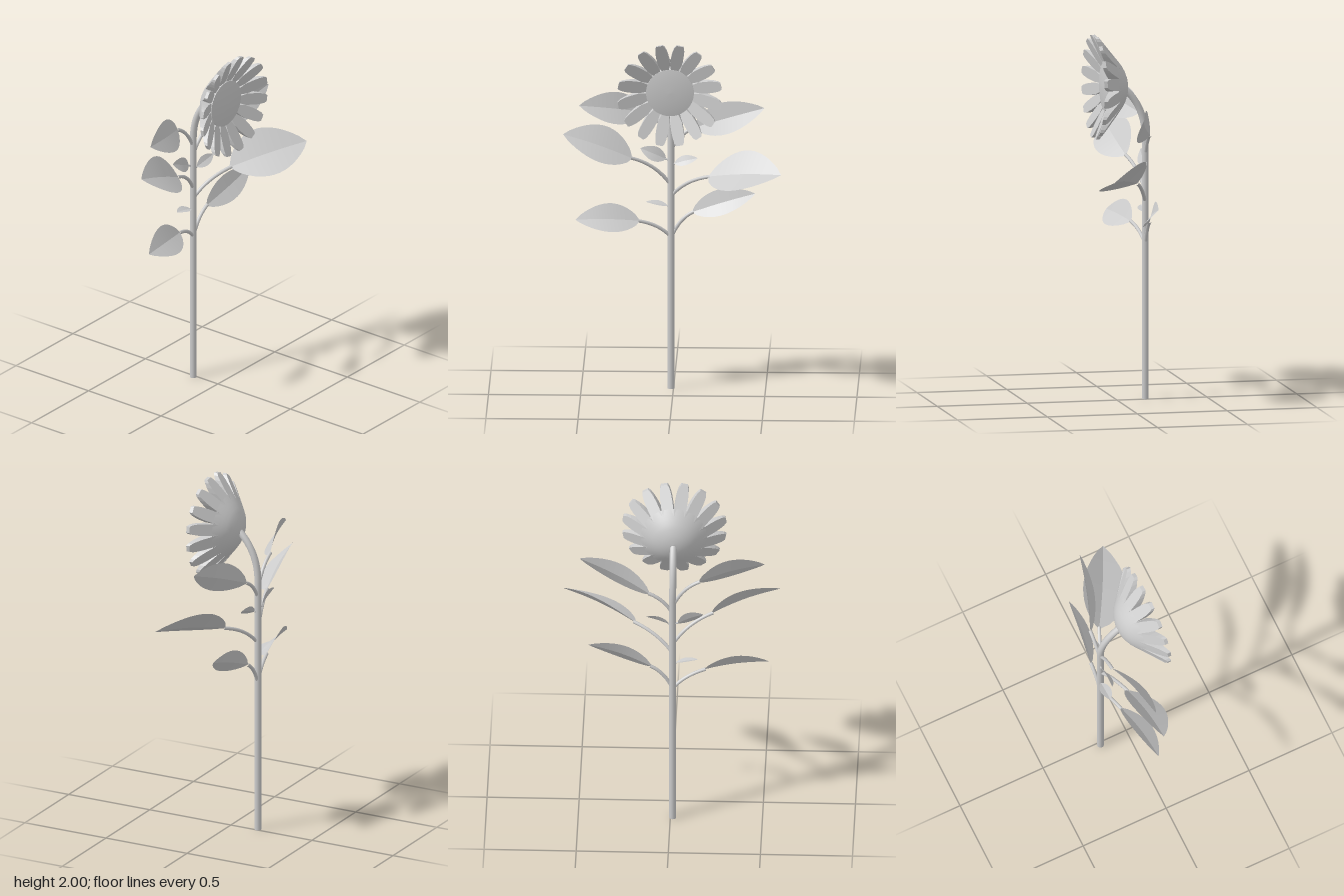
import * as THREE from 'three';

const V = (x, y, z) => new THREE.Vector3(x, y, z);
const grey = new THREE.MeshStandardMaterial({ color: 0xcccccc });
const thinGrey = new THREE.MeshStandardMaterial({ color: 0xcccccc, side: THREE.DoubleSide });
const SX = -0.013, SZ = -0.16, STEM_R = 0.019; // stem axis and radius

function add(parent, name, geometry, material = grey) {
  const mesh = new THREE.Mesh(geometry, material);
  mesh.name = name;
  parent.add(mesh);
  return mesh;
}

// Arched blade from base to tip with a sharp fold along the midrib;
// side points to its lower edge.
function leafBlade(base, tip, side, arch) {
  const axis = tip.clone().sub(base);
  const dir = axis.clone().normalize();
  const half = side.length();
  const w = side.clone().addScaledVector(dir, -side.dot(dir)).setLength(half);
  const n = dir.clone().cross(w).normalize();
  if (n.y < 0) n.negate();
  const across = [-1, -0.5, 0, 0, 0.5, 1]; // midrib doubled to keep the crease
  const rows = 14, cols = across.length, pos = [], idx = [];
  for (let i = 0; i <= rows; i++) {
    const t = i / rows;
    const width = Math.pow(Math.max(0, Math.sin(Math.PI * Math.pow(t, 0.88))), 0.8);
    across.forEach((s, j) => {
      const p = base.clone().addScaledVector(axis, t).addScaledVector(w, s * width)
        .addScaledVector(n, arch * Math.sin(Math.PI * t) + 0.2 * half * Math.abs(s) * width);
      pos.push(p.x, p.y, p.z);
      if (i < rows && j < cols - 1 && j !== 2) {
        const a = i * cols + j, b = a + cols;
        idx.push(a, b, a + 1, a + 1, b, b + 1);
      }
    });
  }
  const g = new THREE.BufferGeometry();
  g.setAttribute('position', new THREE.Float32BufferAttribute(pos, 3));
  g.setIndex(idx);
  g.computeVertexNormals();
  return g;
}

function addLeaf(parent, { name, startY, base, tip, side, arch = 0.014, r = 0.01 }) {
  const leaf = new THREE.Group();
  leaf.name = name;
  const b = V(...base), t = V(...tip);
  const start = V(SX, startY, SZ);
  const mid = V(
    SX + (b.x - SX) * 0.38,
    startY + (b.y - startY) * 0.77,
    SZ + (b.z - SZ) * 0.4);
  // stalk runs a little way under the blade
  const curve = new THREE.QuadraticBezierCurve3(start, mid, b.clone().lerp(t, 0.03));
  add(leaf, 'leafStalk', new THREE.TubeGeometry(curve, 12, r, 8));
  add(leaf, 'leafBlade', leafBlade(b, t, V(...side), arch), thinGrey);
  parent.add(leaf);
}

const LEAVES = [
  { name: 'lowerRightLeaf', startY: 0.85, base: [-0.18, 0.95, -0.12], tip: [-0.53, 0.97, -0.06], side: [0, -0.065, 0.06] },
  { name: 'lowerLeftLeaf', startY: 0.845, base: [0.1, 0.99, -0.16], tip: [0.445, 1.105, -0.13], side: [0.02, -0.06, 0.036] },
  { name: 'middleRightLeaf', startY: 1.14, base: [-0.22, 1.305, -0.1], tip: [-0.597, 1.45, -0.06], side: [-0.02, -0.077, 0.087] },
  { name: 'middleLeftLeaf', startY: 1.08, base: [0.19, 1.215, -0.07], tip: [0.592, 1.285, 0.148], side: [-0.04, -0.083, 0.115] },
  { name: 'upperRightLeaf', startY: 1.39, base: [-0.15, 1.55, -0.16], tip: [-0.51, 1.61, -0.065], side: [0, -0.08, 0.04] },
  { name: 'upperLeftLeaf', startY: 1.34, base: [0.11, 1.465, -0.16], tip: [0.497, 1.61, -0.04], side: [0.03, -0.074, 0.035] },
  { name: 'smallRightLeaf', startY: 1.27, base: [-0.04, 1.285, -0.17], tip: [-0.18, 1.345, -0.17], side: [-0.01, -0.036, 0.015], arch: 0.006, r: 0.005 },
  { name: 'smallLeftLeaf', startY: 1.25, base: [0.005, 1.265, -0.15], tip: [0.132, 1.3, -0.135], side: [0, -0.024, 0.018], arch: 0.006, r: 0.005 },
  { name: 'smallLowRightLeaf', startY: 1.01, base: [-0.03, 1.022, -0.165], tip: [-0.15, 1.045, -0.165], side: [0, -0.006, 0.03], arch: 0.003, r: 0.004 },
];

// Petal: thick at the seed disc, thin at the tip, leaning forward
const petalBack = (r) => -0.012 + (r - 0.13) * 0.8;
const petalFront = (r) => 0.06 + (r - 0.12) * 0.43;

function petalGeometry(angle) {
  const outline = [[0.018, 0.12], [0.032, 0.166], [0.033, 0.215], [0.031, 0.245], [0.026, 0.27], [0.018, 0.284]];
  const right = outline.map(([x, r]) => new THREE.Vector2(x, r));
  const left = outline.map(([x, r]) => new THREE.Vector2(-x, r)).reverse();
  const g = new THREE.ExtrudeGeometry(new THREE.Shape([...right, ...left]), { depth: 1, bevelEnabled: false });
  const p = g.attributes.position;
  for (let i = 0; i < p.count; i++) {
    const r = p.getY(i);
    p.setZ(i, p.getZ(i) > 0.5 ? petalFront(r) : petalBack(r));
  }
  g.computeVertexNormals();
  return g.rotateZ(angle);
}

function lathe(points) {
  return new THREE.LatheGeometry(points.map(([r, z]) => new THREE.Vector2(r, z)), 48).rotateX(Math.PI / 2);
}

export function createModel() {
  const model = new THREE.Group();
  model.name = 'flowerPlant';

  // Straight stem and the neck that bends forward to the flower head
  add(model, 'stem', new THREE.CylinderGeometry(STEM_R, STEM_R, 1.43, 16)).position.set(SX, 0.715, SZ);
  const neck = new THREE.CubicBezierCurve3(
    V(SX, 1.43, SZ), V(SX, 1.55, SZ), V(SX, 1.64, -0.12), V(SX, 1.71, -0.04));
  add(model, 'neck', new THREE.TubeGeometry(neck, 18, STEM_R, 16));

  for (const leaf of LEAVES) addLeaf(model, leaf);

  // Flower head: domed back, flat seed disc and a ring of petals
  const head = new THREE.Group();
  head.name = 'flowerHead';
  head.position.set(SX, 1.72, 0);
  add(head, 'calyx', lathe([[0, -0.06], [0.03, -0.058], [0.06, -0.051], [0.09, -0.039],
    [0.115, -0.025], [0.14, -0.006], [0.16, 0.01], [0.18, 0.027]]), thinGrey);
  add(head, 'seedDisc', lathe([[0.13, 0], [0.13, 0.068], [0.13, 0.068], [0.1, 0.073],
    [0.05, 0.078], [0, 0.079]]));
  const count = 16;
  for (let i = 0; i < count; i++) {
    add(head, 'petal', petalGeometry(((i + 0.5) / count) * Math.PI * 2));
  }
  model.add(head);
  return model;
}
